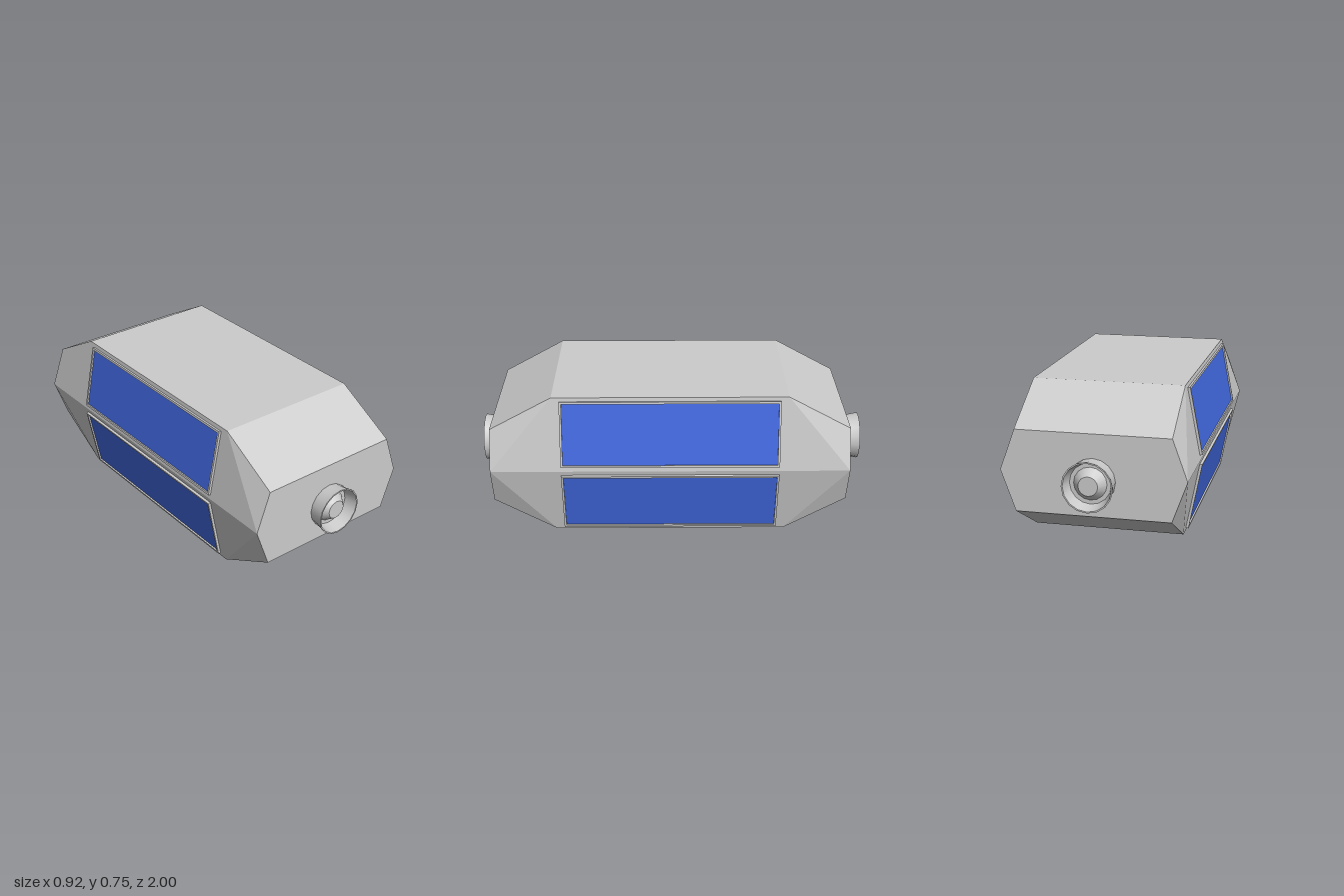
import * as THREE from 'three';
import { ConvexGeometry } from 'three/addons/geometries/ConvexGeometry.js';

const MID_Z = 0.0125, MID_Y = 0.378, EDGE_X = 0.377, WIDE_X = 0.45;
const grey = new THREE.MeshStandardMaterial({ color: 0xcccccc });
const greyFlat = new THREE.MeshStandardMaterial({ color: 0xcccccc, flatShading: true });
const blue = new THREE.MeshStandardMaterial({ color: 0x4169e1 });

// Hexagonal hull with top and bottom sloping towards both ends
function makeHull() {
  const points = [];
  for (const sx of [-1, 1]) for (const sz of [-1, 1]) {
    const zMid = MID_Z + sz * 0.5925, zEnd = MID_Z + sz * 0.91;
    points.push(
      new THREE.Vector3(sx * EDGE_X, 0.755, zMid),
      new THREE.Vector3(sx * EDGE_X, 0, zMid),
      new THREE.Vector3(sx * EDGE_X, 0.58, zEnd),
      new THREE.Vector3(sx * EDGE_X, 0.176, zEnd),
      new THREE.Vector3(sx * WIDE_X, MID_Y, zEnd),
    );
  }
  const hull = new THREE.Mesh(new ConvexGeometry(points), greyFlat);
  hull.name = 'hull';
  return hull;
}

// Raised frame with a slightly recessed blue panel; local z points outwards
function makePanel() {
  const w = 1.105, h = 0.341, rim = 0.011;
  const panel = new THREE.Group();
  const rect = (shape, a, b) => shape.moveTo(-a, -b).lineTo(a, -b).lineTo(a, b).lineTo(-a, b).closePath();
  const outline = rect(new THREE.Shape(), w / 2, h / 2);
  outline.holes.push(rect(new THREE.Path(), w / 2 - rim, h / 2 - rim));
  const frameGeometry = new THREE.ExtrudeGeometry(outline, { depth: 0.018, bevelEnabled: false });
  frameGeometry.translate(0, 0, -0.005);
  const frame = new THREE.Mesh(frameGeometry, grey);
  frame.name = 'panelFrame';
  const glass = new THREE.Mesh(new THREE.BoxGeometry(w - 2 * rim, h - 2 * rim, 0.01), blue);
  glass.name = 'panelSurface';
  panel.add(frame, glass);
  return panel;
}

// Flared cup with a small cone inside; each profile segment keeps hard edges
function makeNozzle() {
  const profile = [
    [0.11, -0.115], [0.114, -0.045], [0.123, 0], [0.116, 0],
    [0.1, -0.065], [0.08, -0.065], [0.047, -0.02], [0, -0.02],
  ].map(([r, z]) => new THREE.Vector2(r, z));
  const nozzle = new THREE.Group();
  const addRing = (name, points) => {
    const geometry = new THREE.LatheGeometry(points, 16);
    geometry.rotateX(Math.PI / 2);
    const ring = new THREE.Mesh(geometry, grey);
    ring.name = name;
    nozzle.add(ring);
  };
  addRing('nozzleOuterWall', profile.slice(0, 3));
  addRing('nozzleRim', profile.slice(2, 4));
  addRing('nozzleInnerWall', profile.slice(3, 5));
  addRing('nozzleFloor', profile.slice(4, 6));
  addRing('nozzleCone', profile.slice(5, 7));
  addRing('nozzleConeCap', profile.slice(6, 8));
  return nozzle;
}

export function createModel() {
  const model = new THREE.Group();
  model.name = 'module';
  model.add(makeHull());

  // Two panels on each sloping side
  const tilt = Math.atan2(WIDE_X - EDGE_X, MID_Y);
  const c = Math.cos(tilt), k = Math.sin(tilt);
  for (const s of [-1, 1]) for (const t of [-1, 1]) {
    const panel = makePanel();
    panel.name = (t > 0 ? 'upper' : 'lower') + (s > 0 ? 'Left' : 'Right') + 'Panel';
    const along = new THREE.Vector3(0, 0, -s);
    const up = new THREE.Vector3(-s * t * k, c, 0);
    const out = new THREE.Vector3(s * c, t * k, 0);
    panel.quaternion.setFromRotationMatrix(new THREE.Matrix4().makeBasis(along, up, out));
    panel.position.set(s * (WIDE_X - 0.19 * Math.tan(tilt)), MID_Y + t * 0.19, MID_Z);
    model.add(panel);
  }

  // Nozzles at both ends
  for (const s of [-1, 1]) {
    const nozzle = makeNozzle();
    nozzle.name = s > 0 ? 'frontNozzle' : 'backNozzle';
    nozzle.position.set(0, 0.352, s);
    if (s < 0) nozzle.rotation.y = Math.PI;
    model.add(nozzle);
  }
  return model;
}
